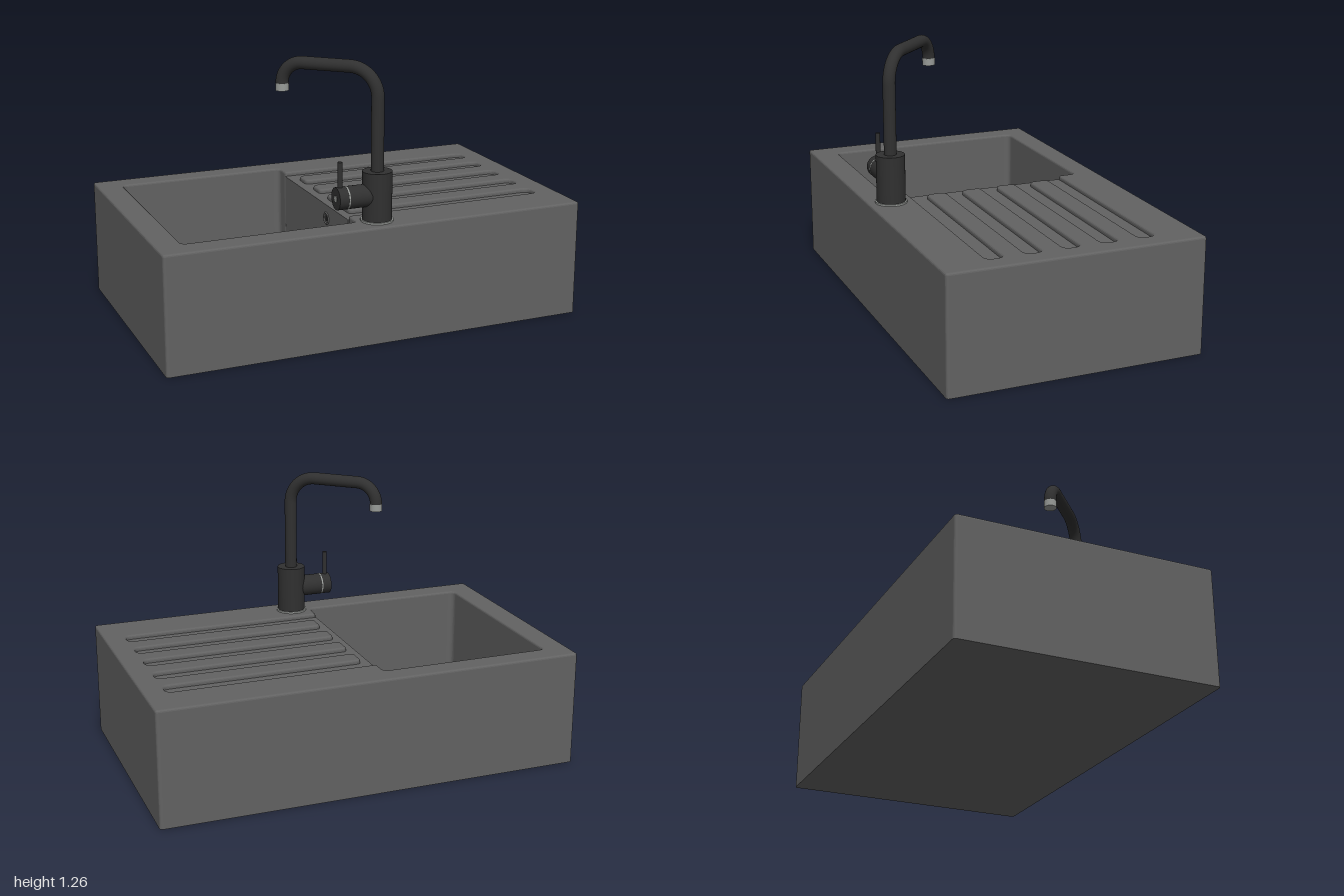
import * as THREE from 'three';

// Closed counter-clockwise outline from [x, z, radius] corners; z is stored as -y to be laid flat
function outline(corners, Type = THREE.Shape) {
  const path = new Type();
  const ordered = [...corners].reverse();
  const v = ordered.map(([x, z]) => new THREE.Vector2(x, -z));
  const n = v.length;
  ordered.forEach(([, , r], i) => {
    const toward = (o) => o.clone().sub(v[i]).setLength(r).add(v[i]);
    const a = toward(v[(i + n - 1) % n]);
    const b = toward(v[(i + 1) % n]);
    if (i === 0) path.moveTo(a.x, a.y); else path.lineTo(a.x, a.y);
    path.quadraticCurveTo(v[i].x, v[i].y, b.x, b.y);
  });
  path.closePath();
  return path;
}

const rect = (x0, x1, z0, z1, r) => [[x0, z0, r], [x1, z0, r], [x1, z1, r], [x0, z1, r]];

export function createModel() {
  const model = new THREE.Group();
  const mat = (name, color) => {
    const m = new THREE.MeshStandardMaterial({ color });
    m.name = name;
    return m;
  };
  const stone = mat('stone grey', 0x626262);
  const black = mat('matte black', 0x303030);
  const steel = mat('steel', 0x989b98);

  const add = (name, geo, material, x = 0, y = 0, z = 0, parent = model) => {
    const mesh = new THREE.Mesh(geo, material);
    mesh.name = name;
    mesh.position.set(x, y, z);
    parent.add(mesh);
    return mesh;
  };
  const cyl = (r, h, seg = 40) => new THREE.CylinderGeometry(r, r, h, seg);

  // Main dimensions
  const top = 0.545, floor = 0.1, bevel = 0.01;
  const bx0 = -0.882, bx1 = -0.075, bz0 = -0.489, bz1 = 0.478;
  const grooveEnd = 0.9, grooveStart = -0.403, grooveWidth = 0.08, pitch = 0.1765;
  const grooveStop = grooveStart + 4 * pitch + grooveWidth;

  // Opening: basin joined with five comb-like drain grooves
  const opening = [[bx0, bz0, 0.03], [bx1, bz0, 0.03], [bx1, grooveStart, 0.015]];
  for (let i = 0; i < 5; i++) {
    const z0 = grooveStart + i * pitch, z1 = z0 + grooveWidth;
    if (i > 0) opening.push([-0.034, z0, 0.025]);
    opening.push([grooveEnd, z0, 0.036], [grooveEnd, z1, 0.036]);
    if (i < 4) opening.push([-0.034, z1, 0.025]);
  }
  opening.push([bx1, grooveStop, 0.015], [bx1, bz1, 0.03], [bx0, bz1, 0.03]);

  // Sink walls and top, with softened rims
  const shape = outline(rect(-1, 1, -0.6, 0.6, 0.015));
  shape.holes.push(outline(opening, THREE.Path));
  const walls = new THREE.ExtrudeGeometry(shape, {
    depth: top - bevel - floor, bevelEnabled: true, bevelThickness: bevel,
    bevelSize: bevel, bevelOffset: -bevel, bevelSegments: 3, curveSegments: 8,
  });
  walls.rotateX(-Math.PI / 2);
  add('sinkWalls', walls, stone, 0, floor, 0);

  // Solid base whose top is the basin floor
  const base = new THREE.ExtrudeGeometry(outline(rect(-1, 1, -0.6, 0.6, 0.015)), {
    depth: floor, bevelEnabled: false, curveSegments: 8,
  });
  base.rotateX(-Math.PI / 2);
  add('sinkBase', base, stone);

  // Block under the grooves; its end is the basin's side wall
  const blockTop = top - 0.02;
  add('grooveBed',
    new THREE.BoxGeometry(grooveEnd - bx1, blockTop - floor, grooveStop - grooveStart), stone,
    (grooveEnd + bx1) / 2, (blockTop + floor) / 2, (grooveStop + grooveStart) / 2);

  // Rounded cove where basin walls meet the floor
  const cove = 0.045, steps = 6, pos = [], idx = [];
  for (let k = 0; k <= steps; k++) {
    const a = (k / steps) * Math.PI / 2;
    const inset = cove * (1 - Math.cos(a)) + 0.0005;
    const y = floor + 0.001 + cove * (1 - Math.sin(a));
    const pts = outline(rect(bx0 + inset, bx1 - inset, bz0 + inset, bz1 - inset, 0.03)).getPoints(6);
    const n = pts.length - 1;
    for (let j = 0; j < n; j++) {
      pos.push(pts[j].x, y, -pts[j].y);
      if (k < steps) {
        const p = k * n + j, q = k * n + (j + 1) % n;
        idx.push(p, q, p + n, q, q + n, p + n);
      }
    }
  }
  const coveGeo = new THREE.BufferGeometry();
  coveGeo.setAttribute('position', new THREE.Float32BufferAttribute(pos, 3));
  coveGeo.setIndex(idx);
  coveGeo.computeVertexNormals();
  add('basinCove', coveGeo, stone);

  // Drain strainer with radial slots
  const drain = new THREE.Group();
  drain.name = 'drain';
  drain.position.set(-0.294, floor, 0.291);
  model.add(drain);
  add('drainFlange', new THREE.CylinderGeometry(0.1, 0.107, 0.01, 48), steel, 0, 0.005, 0, drain);
  for (let i = 0; i < 20; i++) {
    const a = (i / 20) * Math.PI * 2;
    const slot = add('drainSlot', new THREE.BoxGeometry(0.04, 0.003, 0.006), black,
      Math.cos(a) * 0.038, 0.011, -Math.sin(a) * 0.038, drain);
    slot.rotation.y = a;
  }
  add('drainKnob', cyl(0.012, 0.012, 20), steel, 0, 0.014, 0, drain);

  // Overflow outlet on the basin side wall
  const ring = add('overflowRing', new THREE.TorusGeometry(0.026, 0.005, 10, 32), stone, bx1, 0.46, 0.13);
  ring.rotation.y = Math.PI / 2;
  const hole = add('overflowHole', cyl(0.013, 0.004, 24), black, bx1, 0.46, 0.13);
  hole.rotation.z = Math.PI / 2;

  // Tap
  const tap = new THREE.Group();
  tap.name = 'tap';
  tap.position.set(0.017, 0, 0.493);
  model.add(tap);
  add('tapBaseRing', cyl(0.074, 0.008), steel, 0, top + 0.004, 0, tap);
  add('tapBody', cyl(0.067, 0.773 - top - 0.006), black, 0, (0.773 + top + 0.006) / 2, 0, tap);

  // Swivelled spout: riser, bend, arm, bend down to the aerator
  const spout = new THREE.Group();
  spout.name = 'spout';
  spout.rotation.y = Math.atan2(0.69, -0.725);
  tap.add(spout);
  const P = (x, y) => new THREE.Vector3(x, y, 0);
  const reach = 0.451, armY = 1.232, r1 = 0.13, r2 = 0.097, c = 0.448;
  const path = new THREE.CurvePath();
  path.add(new THREE.LineCurve3(P(0, 0.76), P(0, armY - r1)));
  path.add(new THREE.CubicBezierCurve3(P(0, armY - r1), P(0, armY - r1 * c),
    P(r1 * c, armY), P(r1, armY)));
  path.add(new THREE.LineCurve3(P(r1, armY), P(reach - r2, armY)));
  path.add(new THREE.CubicBezierCurve3(P(reach - r2, armY), P(reach - r2 * c, armY),
    P(reach, armY - r2 * c), P(reach, armY - r2)));
  add('spoutTube', new THREE.TubeGeometry(path, 90, 0.029, 24, false), black, 0, 0, 0, spout);
  add('aerator', cyl(0.03, 0.034, 32), steel, reach, 1.118, 0, spout);

  // Side handle with trim ring and upright lever
  const sideways = (name, r, x0, x1, material) => {
    const m = add(name, cyl(r, x1 - x0), material, (x0 + x1) / 2, 0.666, 0, tap);
    m.rotation.z = Math.PI / 2;
  };
  sideways('handleNeck', 0.051, -0.148, -0.02, black);
  sideways('handleTrim', 0.0515, -0.154, -0.148, steel);
  sideways('handleCap', 0.051, -0.198, -0.154, black);
  sideways('handleDot', 0.014, -0.2, -0.198, steel);
  add('lever', cyl(0.011, 0.13, 20), black, -0.179, 0.765, 0, tap);

  return model;
}
